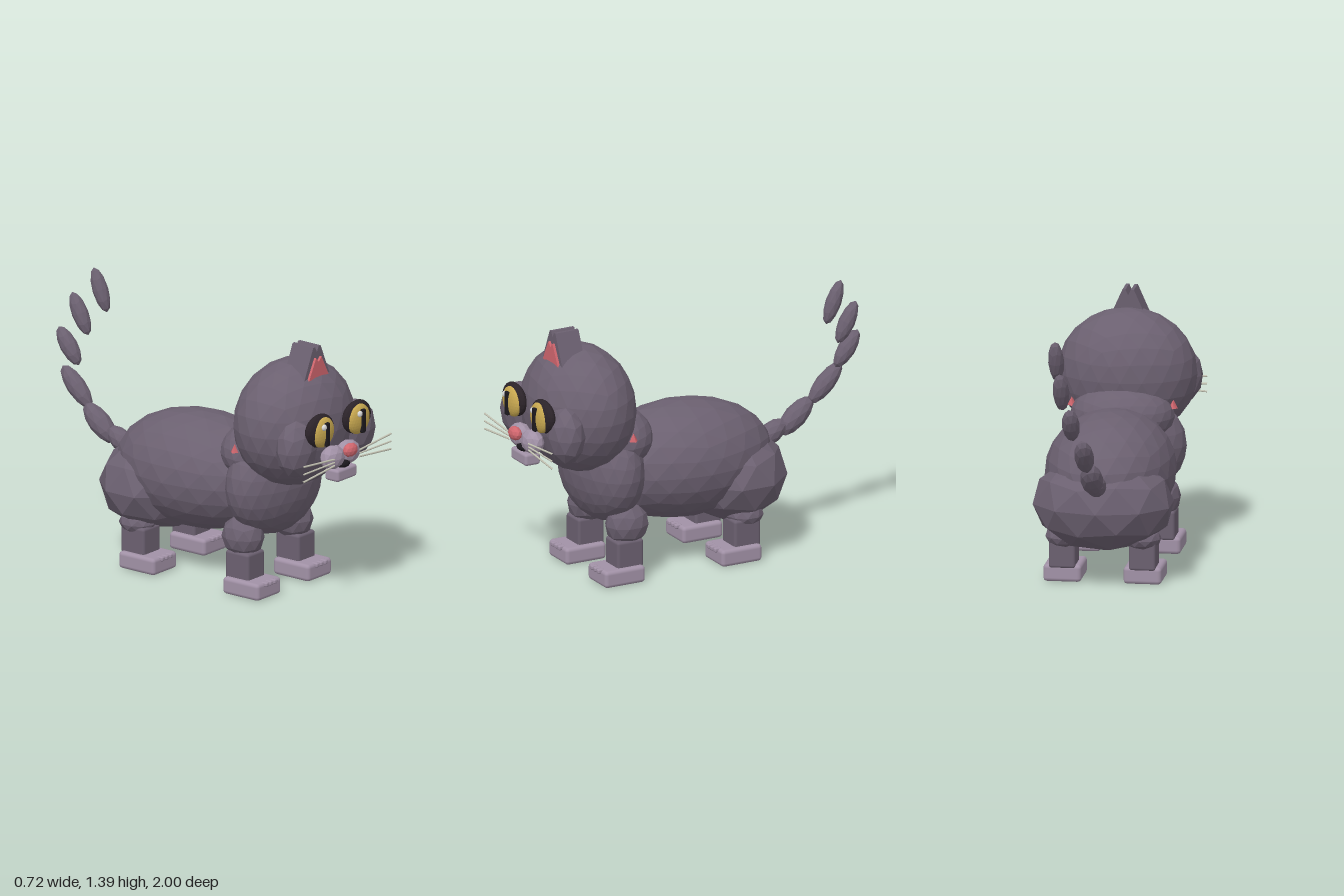
import * as THREE from 'three';
import { RoundedBoxGeometry } from 'three/addons/geometries/RoundedBoxGeometry.js';

const paint = (name, color) => {
  const m = new THREE.MeshStandardMaterial({ color });
  m.name = name;
  return m;
};

export function createModel() {
  const fur = paint('fur', 0x6b6070);
  const paleFur = paint('pale fur', 0xa191a6);
  const pink = paint('pink', 0xd0666e);
  const amber = paint('amber', 0xc8a850);
  const rimDark = paint('eye rim', 0x2b2329);
  const black = paint('black', 0x1c191e);
  const whiskerGrey = paint('whisker', 0xc6c5b5);
  const shine = paint('shine', 0xd8d8d8);

  const cat = new THREE.Group();
  cat.name = 'cat';

  const add = (name, geometry, material, pos = [0, 0, 0]) => {
    const mesh = new THREE.Mesh(geometry, material);
    mesh.name = name;
    mesh.position.set(...pos);
    cat.add(mesh);
    return mesh;
  };

  // Faceted ellipsoid with a vertex at each pole
  const blob = (name, material, pos, radii, detail = 1) => {
    const g = new THREE.IcosahedronGeometry(1, detail);
    g.rotateZ(Math.atan2(2, 1 + Math.sqrt(5)));
    g.rotateY(Math.PI);
    g.scale(...radii);
    g.computeVertexNormals();
    return add(name, g, material, pos);
  };

  const block = (name, material, pos, size, radius) =>
    add(name, new RoundedBoxGeometry(...size, 2, radius), material, pos);

  // Torso and head
  blob('body', fur, [0, 0.53, 0], [0.335, 0.305, 0.5], 3);
  blob('hips', fur, [0, 0.42, -0.26], [0.37, 0.25, 0.3]);
  blob('chest', fur, [0, 0.56, 0.465], [0.325, 0.28, 0.185], 3);
  blob('neck', fur, [0, 0.72, 0.42], [0.27, 0.165, 0.215], 3);
  blob('head', fur, [0, 0.905, 0.6], [0.36, 0.335, 0.28], 3);

  // Nose, mouth and chin
  blob('nose', pink, [0, 0.82, 0.967], [0.049, 0.037, 0.031]);
  blob('mouth', black, [0, 0.738, 0.92], [0.045, 0.022, 0.03]);
  block('chin', paleFur, [0, 0.69, 0.905], [0.16, 0.065, 0.09], 0.015);

  for (const s of [1, -1]) {
    // Face
    blob('cheek', fur, [s * 0.24, 0.85, 0.805], [0.12, 0.152, 0.097]);
    blob('muzzle', paleFur, [s * 0.062, 0.782, 0.9], [0.078, 0.064, 0.055]);
    blob('eyeRim', rimDark, [s * 0.152, 0.945, 0.885], [0.108, 0.088, 0.04], 3);
    blob('eye', amber, [s * 0.146, 0.938, 0.901], [0.084, 0.081, 0.036], 4);
    block('pupil', black, [s * 0.146, 0.932, 0.932], [0.03, 0.126, 0.02], 0.006);
    blob('eyeShine', shine, [s * 0.146 - 0.024, 0.974, 0.932], [0.017, 0.017, 0.012], 2);

    // Ear halves meeting over the crown, with a pink lining
    const earShape = new THREE.Shape([
      [0, 1.15], [0.11, 1.15], [0.03, 1.33], [0.014, 1.33], [0, 1.3],
    ].map(([x, y]) => new THREE.Vector2(s * x, y)));
    add('ear', new THREE.ExtrudeGeometry(earShape, { depth: 0.135, bevelEnabled: false }), fur, [0, 0, 0.613]);
    const liningShape = new THREE.Shape([
      [0, 1.165], [0.08, 1.165], [0.022, 1.275], [0, 1.25],
    ].map(([x, y]) => new THREE.Vector2(s * x, y)));
    add('earLining', new THREE.ExtrudeGeometry(liningShape, { depth: 0.014, bevelEnabled: false }), pink, [0, 0, 0.747]);

    // Small pink tuft behind the jaw
    add('neckTuft', new THREE.ConeGeometry(0.024, 0.045, 4), pink, [s * 0.262, 0.785, 0.42]);

    // Whiskers fanning out from the muzzle
    for (const k of [-1, 0, 1]) {
      const a = new THREE.Vector3(s * 0.1, 0.771 + k * 0.017, 0.943);
      const b = new THREE.Vector3(s * 0.36, 0.771 + k * 0.041, 0.945);
      add('whisker', new THREE.TubeGeometry(new THREE.LineCurve3(a, b), 1, 0.005, 6), whiskerGrey);
    }

    // Legs: upper part, shin, paw and three toes
    const legs = [
      { name: 'front', z: 0.443, paw: 0.488, upper: [0.3, 0.425], r: [0.1, 0.112, 0.117] },
      { name: 'hind', z: -0.24, paw: -0.193, upper: [0.24, -0.26], r: [0.1, 0.06, 0.1] },
    ];
    for (const { name, z, paw, upper, r } of legs) {
      blob(name + 'UpperLeg', fur, [s * 0.2, ...upper], r);
      block(name + 'Shin', fur, [s * 0.207, 0.155, z], [0.138, 0.155, 0.152], 0.015);
      block(name + 'Paw', paleFur, [s * 0.207, 0.05, paw], [0.196, 0.09, 0.235], 0.02);
      for (const k of [-1, 0, 1]) {
        block(name + 'Toe', paleFur, [s * 0.207 + k * 0.034, 0.086, paw + 0.113], [0.026, 0.024, 0.04], 0.008);
      }
    }
  }

  // Tail: centre, lean in y and z, length and thickness of each bead
  const up = new THREE.Vector3(0, 1, 0);
  const tail = [
    [[0, 0.57, -0.53], [0.53, -0.85], 0.095, 0.055],
    [[0, 0.635, -0.67], [0.67, -0.74], 0.128, 0.058],
    [[0.015, 0.792, -0.835], [0.72, -0.69], 0.132, 0.05],
    [[0.07, 0.978, -0.93], [0.8, -0.58], 0.112, 0.046],
    [[0.125, 1.143, -0.9], [0.9, -0.45], 0.118, 0.043],
    [[0.165, 1.28, -0.8], [0.93, -0.36], 0.12, 0.041],
  ];
  for (const [pos, [y, z], length, r] of tail) {
    blob('tailSegment', fur, pos, [r, length, r])
      .quaternion.setFromUnitVectors(up, new THREE.Vector3(0, y, z).normalize());
  }

  return cat;
}
